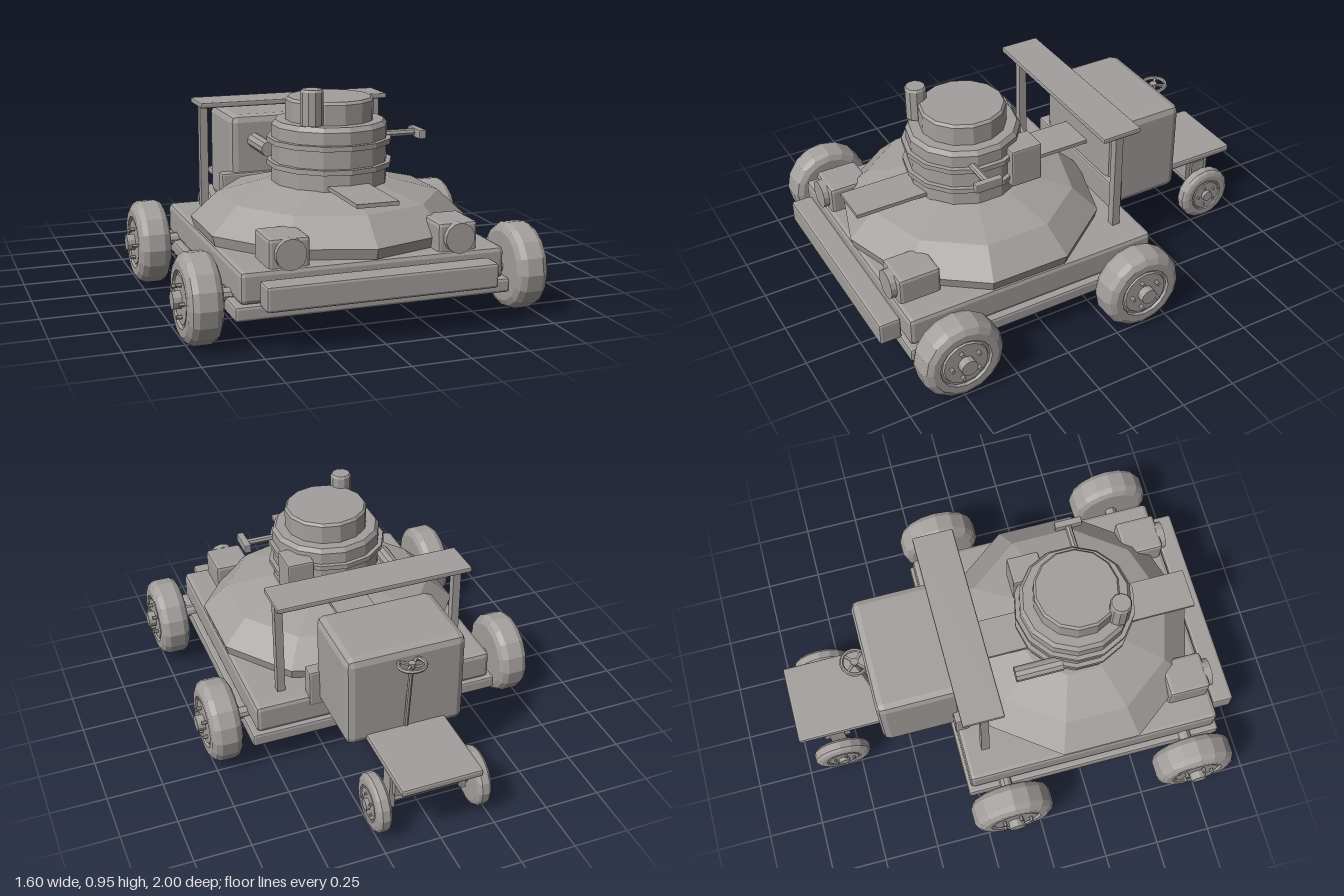
import * as THREE from 'three';
import { RoundedBoxGeometry } from 'three/addons/geometries/RoundedBoxGeometry.js';

export function createModel() {
  const model = new THREE.Group();
  model.name = 'vehicle';
  const grey = new THREE.MeshStandardMaterial({ color: 0xa39f9d, flatShading: true });
  grey.name = 'grey';

  const add = (name, geometry, x = 0, y = 0, z = 0, parent = model) => {
    const mesh = new THREE.Mesh(geometry, grey);
    mesh.name = name;
    mesh.position.set(x, y, z);
    parent.add(mesh);
    return mesh;
  };
  // Box given by its limits, with an optional chamfer
  const box = (name, x0, x1, y0, y1, z0, z1, bevel = 0) => {
    const w = x1 - x0, h = y1 - y0, d = z1 - z0;
    const g = bevel ? new RoundedBoxGeometry(w, h, d, 1, bevel) : new THREE.BoxGeometry(w, h, d);
    return add(name, g, (x0 + x1) / 2, (y0 + y1) / 2, (z0 + z1) / 2);
  };
  const lathe = (points, sides) =>
    new THREE.LatheGeometry(points.map(([r, y]) => new THREE.Vector2(r, y)), sides);
  // Round bar between two points
  const rod = (name, a, b, r, sides = 8) => {
    const from = new THREE.Vector3(...a), to = new THREE.Vector3(...b);
    const dir = to.clone().sub(from);
    const m = add(name, new THREE.CylinderGeometry(r, r, dir.length(), sides));
    m.position.copy(from).add(to).multiplyScalar(0.5);
    m.quaternion.setFromUnitVectors(new THREE.Vector3(0, 1, 0), dir.normalize());
    return m;
  };

  // Chassis, deck and bumper
  box('chassisPlate', -0.59, 0.59, 0.125, 0.187, -0.3, 0.91, 0.012);
  box('deck', -0.565, 0.565, 0.185, 0.32, -0.285, 0.895, 0.02);
  box('bumper', -0.49, 0.49, 0.18, 0.285, 0.9, 1.0, 0.012);

  // Faceted hull
  const hull = add('hull', lathe([[0, 0.315], [0.585, 0.32], [0.598, 0.365],
    [0.48, 0.475], [0.27, 0.53], [0, 0.53]], 10), 0, 0, 0.33);
  hull.scale.z = 0.965;
  box('frontPlate', -0.09, 0.09, 0.535, 0.552, 0.55, 0.9);
  box('rearPlate', -0.09, 0.09, 0.535, 0.552, -0.24, 0.14);

  // Turret with two rings and a raised cap
  add('turret', lathe([[0, 0.51], [0.25, 0.51], [0.25, 0.6], [0.27, 0.6], [0.27, 0.622],
    [0.25, 0.622], [0.25, 0.7], [0.27, 0.7], [0.27, 0.722], [0.25, 0.722],
    [0.25, 0.775], [0.235, 0.795], [0, 0.795]], 14), 0, 0, 0.345);
  add('turretCap', lathe([[0, 0.79], [0.19, 0.79], [0.19, 0.88], [0.18, 0.892],
    [0, 0.892]], 14), 0, 0, 0.345);
  add('periscope', lathe([[0, 0.8], [0.048, 0.8], [0.048, 0.94], [0.042, 0.95],
    [0, 0.95]], 10), -0.135, 0, 0.5);
  rod('sideArm', [0.22, 0.725, 0.42], [0.365, 0.725, 0.42], 0.016);
  box('armHead', 0.36, 0.392, 0.704, 0.744, 0.36, 0.485, 0.005);
  box('sideBox', 0.145, 0.27, 0.575, 0.755, 0.105, 0.25, 0.008);
  rod('sideCanister', [-0.232, 0.65, 0.01], [-0.232, 0.65, 0.225], 0.035, 10);

  // Mirrored headlights, rack posts and struts
  for (const s of [-1, 1]) {
    const x = s * 0.36;
    box('headlightHousing', x - 0.087, x + 0.087, 0.3, 0.437, 0.69, 0.88, 0.015);
    rod('headlight', [x, 0.375, 0.87], [x, 0.375, 0.905], 0.064, 14);
    const p = s * 0.42;
    box('rackPost', p - 0.018, p + 0.018, 0.3, 0.795, -0.2, -0.163);
    rod('towStrut', [s * 0.1, 0.235, -0.28], [s * 0.1, 0.275, -0.68], 0.01, 6);
  }
  box('rackShelf', -0.45, 0.45, 0.788, 0.812, -0.28, -0.095, 0.006);

  // Engine housing and rear platform
  box('rearBulkhead', -0.32, 0.32, 0.27, 0.45, -0.29, -0.225, 0.01);
  box('engineHousing', -0.272, 0.272, 0.275, 0.72, -0.618, -0.238, 0.035);
  box('rearPlatform', -0.183, 0.183, 0.285, 0.32, -1.0, -0.6, 0.01);
  box('rearAxleBlock', -0.165, 0.165, 0.19, 0.29, -0.885, -0.765);

  // Steering wheel
  const steering = new THREE.Group();
  steering.name = 'steeringWheel';
  steering.position.set(0, 0.67, -0.658);
  steering.rotation.x = 0.1;
  model.add(steering);
  add('rim', new THREE.TorusGeometry(0.058, 0.009, 6, 16).rotateX(Math.PI / 2), 0, 0, 0, steering);
  add('hub', new THREE.CylinderGeometry(0.018, 0.018, 0.02, 8), 0, 0, 0, steering);
  for (const a of [Math.PI / 4, -Math.PI / 4]) {
    add('spoke', new THREE.BoxGeometry(0.112, 0.008, 0.012), 0, 0, 0, steering).rotation.y = a;
  }
  rod('steeringColumn', [0, 0.3, -0.612], [0, 0.67, -0.656], 0.011);

  // Wheels: the profile turns about the axle, with the outer face at +y
  const tyre = lathe([[0, -0.07], [0.15, -0.07], [0.174, -0.058], [0.187, -0.035],
    [0.187, 0.035], [0.174, 0.058], [0.15, 0.072], [0.118, 0.072], [0.114, 0.06],
    [0.105, 0.06], [0.1, 0.068], [0, 0.068]], 16);
  const hubShape = new THREE.CylinderGeometry(0.037, 0.037, 0.04, 12);
  const bolt = new THREE.CylinderGeometry(0.009, 0.009, 0.025, 6);
  const wheel = (name, s, x, y, z, radial, width) => {
    const g = new THREE.Group();
    g.name = name;
    g.position.set(s * x, y, z);
    g.rotation.z = -s * Math.PI / 2;
    g.scale.set(radial, width, radial);
    model.add(g);
    add('tyre', tyre, 0, 0, 0, g);
    add('hub', hubShape, 0, 0.083, 0, g);
    for (let i = 0; i < 5; i++) {
      const a = i * Math.PI * 2 / 5 + 0.3;
      add('bolt', bolt, Math.cos(a) * 0.068, 0.077, Math.sin(a) * 0.068, g);
    }
  };
  for (const s of [-1, 1]) {
    wheel('frontWheel', s, 0.698, 0.19, 0.745, 1, 1);
    wheel('middleWheel', s, 0.698, 0.19, -0.125, 1, 1);
    wheel('rearWheel', s, 0.227, 0.132, -0.825, 0.7, 0.48);
  }
  for (const z of [0.745, -0.125]) rod('axle', [-0.66, 0.19, z], [0.66, 0.19, z], 0.028, 10);
  rod('rearAxle', [-0.22, 0.132, -0.825], [0.22, 0.132, -0.825], 0.02);
  for (const s of [-1, 1]) {
    const x = s * 0.165;
    box('rearAxleBracket', x - 0.012, x + 0.012, 0.11, 0.28, -0.86, -0.79);
  }
  return model;
}
